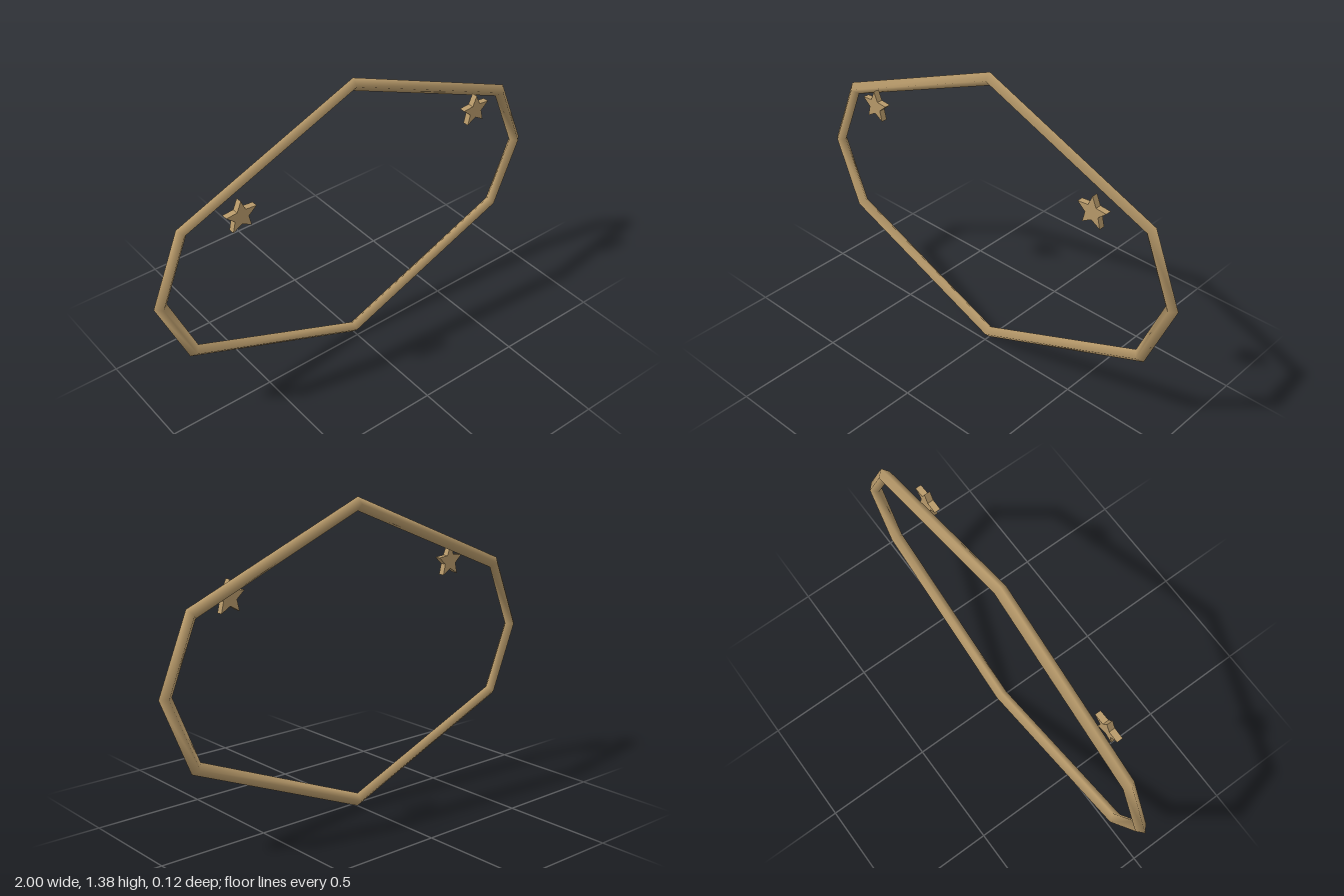
import * as THREE from 'three';

// Closed mitred bar with a diamond section, smooth normals
function frameGeometry(corners, r, z) {
  const n = corners.length, pos = [], idx = [];
  corners.forEach(([x, y], i) => {
    const p = new THREE.Vector2(x, y);
    const a = new THREE.Vector2(...corners[(i + n - 1) % n]);
    const b = new THREE.Vector2(...corners[(i + 1) % n]);
    const d1 = p.clone().sub(a).normalize(), d2 = b.sub(p).normalize();
    const t = d1.clone().add(d2).normalize();
    const m = r / t.dot(d1); // mitre length
    const ox = t.y * m, oy = -t.x * m; // outward for a counter-clockwise loop
    pos.push(x + ox, y + oy, z, x, y, z + r, x - ox, y - oy, z, x, y, z - r);
    for (let k = 0; k < 4; k++) {
      const l = (k + 1) % 4, j = (i + 1) % n;
      const A = i * 4 + k, B = j * 4 + k, C = j * 4 + l, D = i * 4 + l;
      idx.push(A, B, C, A, C, D);
    }
  });
  const g = new THREE.BufferGeometry();
  g.setAttribute('position', new THREE.Float32BufferAttribute(pos, 3));
  g.setIndex(idx);
  g.computeVertexNormals();
  return g;
}

// Five-pointed star plate
function starGeometry(outer, inner, depth) {
  const pts = [];
  for (let i = 0; i < 10; i++) {
    const a = Math.PI / 2 + i * Math.PI / 5, r = i % 2 ? inner : outer;
    pts.push(new THREE.Vector2(Math.cos(a) * r, Math.sin(a) * r));
  }
  return new THREE.ExtrudeGeometry(new THREE.Shape(pts), { depth, bevelEnabled: false });
}

export function createModel() {
  const group = new THREE.Group();
  const brass = new THREE.MeshStandardMaterial({ color: 0xb99b6b });
  brass.name = 'brass';

  // Eight-sided frame, counter-clockwise from the left corner
  const cy = 0.69;
  const corners = [
    [0.97, 0], [0.842, 0.312], [0, 0.66], [-0.842, 0.312],
    [-0.97, 0], [-0.842, -0.312], [0, -0.66], [0.842, -0.312],
  ].map(([x, y]) => [x, y + cy]);
  const frame = new THREE.Mesh(frameGeometry(corners, 0.028, -0.029), brass);
  frame.name = 'frame';
  group.add(frame);

  // Pair of stars in front of the upper bars
  const star = starGeometry(0.0745, 0.034, 0.028);
  for (const side of [1, -1]) {
    const mesh = new THREE.Mesh(star, brass);
    mesh.name = side > 0 ? 'leftStar' : 'rightStar';
    mesh.position.set(side * 0.617, 1.025, 0.03);
    group.add(mesh);
  }
  return group;
}
